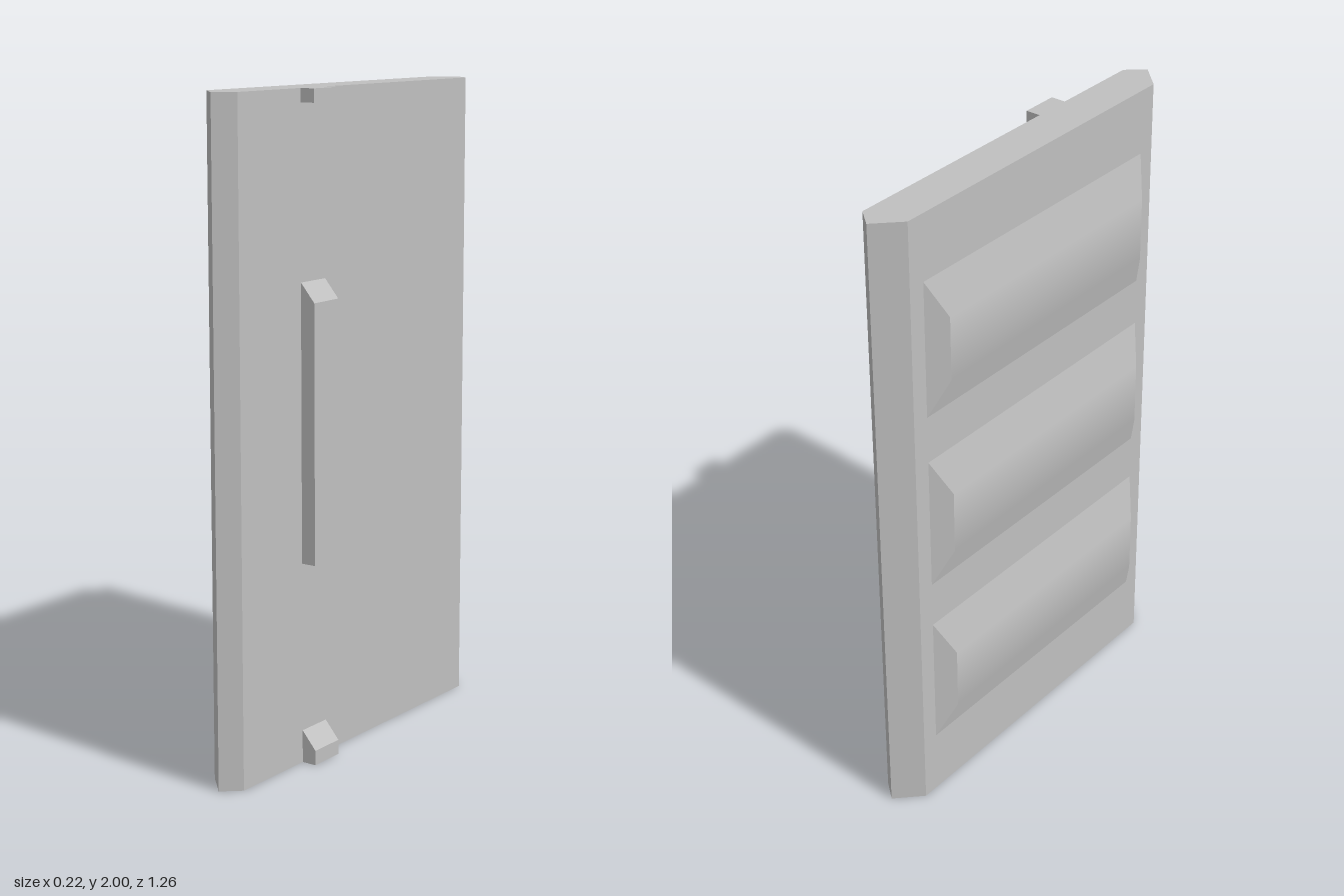
import * as THREE from 'three';

const FACE = 0.0655, OUTER = 0.1125; // slab face and raised part distances along x

// Prism from [x, y] points, extruded along z
function prism(points, depth) {
  const shape = new THREE.Shape(points.map(([x, y]) => new THREE.Vector2(x, y)));
  return new THREE.ExtrudeGeometry(shape, { depth, bevelEnabled: false });
}

// Raised ridge: softly shaded across its height, with sharp bevelled ends
function ridgeGeometry() {
  // rows: x, y, half length, normal tilt
  const tilt = 0.2;
  const rows = [
    [-FACE, -0.215, 0.497, -tilt],
    [-OUTER, -0.1, 0.445, -tilt],
    [-OUTER, 0.1, 0.445, tilt],
    [-FACE, 0.215, 0.497, tilt],
  ];
  const pos = [], nor = [], index = [];
  for (const [x, y, h, t] of rows) {
    for (const s of [-1, 1]) {
      pos.push(x, y, s * h);
      nor.push(-Math.cos(t), Math.sin(t), 0);
    }
  }
  for (let i = 0; i < 3; i++) {
    const a = i * 2;
    index.push(a, a + 1, a + 3, a, a + 3, a + 2);
  }
  // end caps
  const n = new THREE.Vector2(-0.052, OUTER - FACE).normalize();
  for (const s of [-1, 1]) {
    const b = pos.length / 3;
    for (const r of [0, 3, 2, 1]) {
      pos.push(rows[r][0], rows[r][1], s * rows[r][2]);
      nor.push(n.x, 0, s * n.y);
    }
    if (s > 0) index.push(b, b + 1, b + 2, b, b + 2, b + 3);
    else index.push(b, b + 2, b + 1, b, b + 3, b + 2);
  }
  const g = new THREE.BufferGeometry();
  g.setAttribute('position', new THREE.Float32BufferAttribute(pos, 3));
  g.setAttribute('normal', new THREE.Float32BufferAttribute(nor, 3));
  g.setIndex(index);
  return g;
}

export function createModel() {
  const group = new THREE.Group();
  const grey = new THREE.MeshStandardMaterial({ color: 0xc0c0c0 });
  grey.name = 'light grey';

  const add = (name, geometry) => {
    const mesh = new THREE.Mesh(geometry, grey);
    mesh.name = name;
    group.add(mesh);
    return mesh;
  };

  // Upright slab with pointed side edges
  const slab = prism([
    [0.01, -0.628], [FACE, -0.581], [FACE, 0.581],
    [0.01, 0.628], [-FACE, 0.552], [-FACE, -0.552],
  ], 2);
  slab.rotateX(-Math.PI / 2);
  add('slab', slab);

  // Three ridges on one face
  const ridge = ridgeGeometry();
  [0.424, 1.002, 1.582].forEach((y, i) => {
    add('ridge' + (i + 1), ridge).position.y = y;
  });

  // Handle bar and end tabs on the other face: bottom, outer top, inner top
  const tabs = [
    ['bottomTab', 0, 0.045, 0.1],
    ['handleBar', 0.615, 1.392, 1.448],
    ['topTab', 1.96, 2, 2],
  ];
  for (const [name, low, outerTop, innerTop] of tabs) {
    const g = prism([[FACE, low], [OUTER, low], [OUTER, outerTop], [FACE, innerTop]], 0.118);
    add(name, g).position.z = 0.176;
  }

  return group;
}
